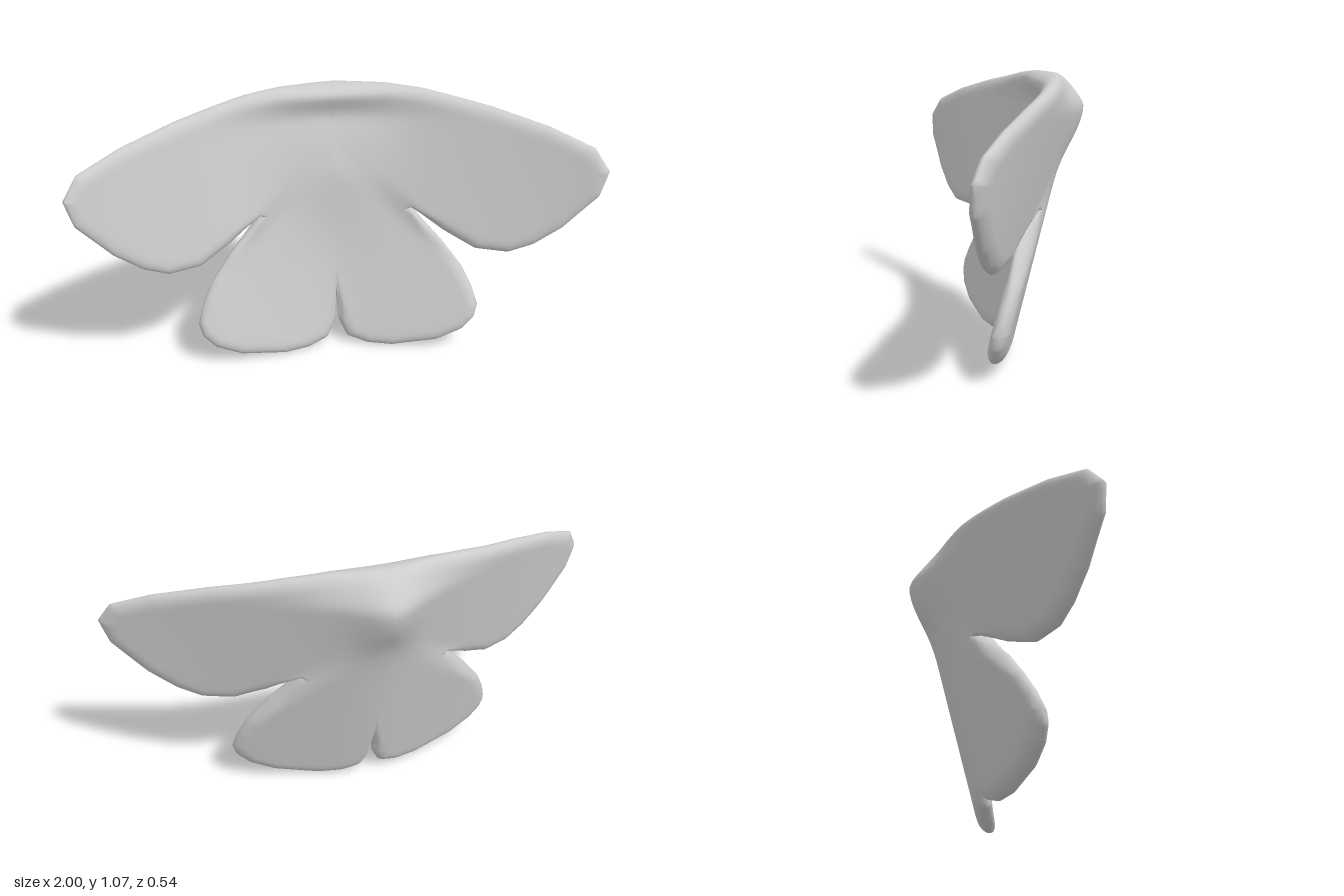
import * as THREE from 'three';
import { mergeVertices } from 'three/addons/utils/BufferGeometryUtils.js';

// Outline of one half, as curves of y over x
const SEAM = 0.585;
const upperTop = [[0, 1.07], [0.2, 1.067], [0.34, 1.052], [0.6, 1.002], [0.8, 0.95], [0.95, 0.89], [1, 0.81]];
const upperBottom = [[0.3, SEAM], [0.42, 0.505], [0.54, 0.447], [0.66, 0.447], [0.75, 0.49], [0.85, 0.57], [0.97, 0.71], [1, 0.81]];
const lowerTop = [[0.3, SEAM], [0.42, 0.455], [0.5, 0.35], [0.54, 0.27], [0.564, 0.19]];
const lowerBottom = [[0, 0.25], [0.008, 0.1], [0.04, 0.033], [0.12, 0.004], [0.22, 0], [0.4, 0.035],
  [0.5, 0.085], [0.55, 0.14], [0.564, 0.19]];
const edges = [upperTop, upperBottom, lowerTop, lowerBottom];

const smooth = THREE.MathUtils.smoothstep;
const bump = (v, width) => Math.exp(-((v / width) ** 2));

// Height of an outline curve at x; the inner wing ends at the seam
function heightAt(curve, x) {
  if (x <= curve[0][0]) return curve[0][1];
  for (let i = 1; i < curve.length; i++) {
    const [x0, y0] = curve[i - 1], [x1, y1] = curve[i];
    if (x <= x1) return y0 + (y1 - y0) * (x - x0) / (x1 - x0);
  }
  return curve[curve.length - 1][1];
}

// Distance from a point to the nearest outer edge
function edgeDistance(x, y) {
  let best = Infinity;
  for (const curve of edges) {
    for (let i = 1; i < curve.length; i++) {
      const [x0, y0] = curve[i - 1], [x1, y1] = curve[i];
      const dx = x1 - x0, dy = y1 - y0;
      const t = THREE.MathUtils.clamp(((x - x0) * dx + (y - y0) * dy) / (dx * dx + dy * dy), 0, 1);
      best = Math.min(best, Math.hypot(x - x0 - t * dx, y - y0 - t * dy));
    }
  }
  return best;
}

// Swept-forward middle surface: strong sweep above, gentler below
function middle(x, y) {
  const r = Math.sqrt(x * x + 0.01);
  const upper = -0.225 + 0.445 * r + 0.02 * x ** 4 - 0.1 * x * x * (0.9 - y);
  const lower = -0.198 + 0.27 * r;
  const blend = smooth(y - SEAM + 0.8 * (x - 0.3), -0.1, 0.05);
  const crest = 0.075 * smooth(y, 0.93, 1.07) * bump(x, 0.3);
  return lower + (upper - lower) * blend + 0.25 * (0.9 - y) + crest;
}

// Rounded rim, tighter at the notches, with a narrow spine behind and a broad fill in front
function surfaceZ(x, y, side) {
  const notch = Math.min(Math.hypot(x - 0.3, y - SEAM), Math.hypot(x, y - 0.25));
  const radius = 0.012 + 0.038 * smooth(notch, 0, 0.16);
  const t = Math.min(edgeDistance(x, y) / radius, 1);
  const rim = Math.sqrt(Math.max(0, 1 - (1 - t) ** 2));
  const body = side < 0
    ? 0.045 * bump(y - 0.905, 0.15) * bump(x, 0.12)
    : 0.065 * bump(y - 0.84, 0.3) * bump(x, 0.2);
  return middle(x, y) + side * rim * (0.038 - 0.01 * x * x + body);
}

// Shared columns so both wings meet exactly at the seam
function columns() {
  const stops = [...new Set(edges.flat().map(p => p[0]))].sort((a, b) => a - b);
  const xs = [0];
  for (let i = 1; i < stops.length; i++) {
    const n = Math.ceil((stops[i] - stops[i - 1]) / 0.015);
    for (let k = 1; k <= n; k++) xs.push(stops[i - 1] + (stops[i] - stops[i - 1]) * k / n);
  }
  return xs;
}

function wingGeometry() {
  const positions = [], indices = [], rows = 32;
  const allX = columns();
  for (const [bottom, top] of [[upperBottom, upperTop], [lowerBottom, lowerTop]]) {
    const xs = allX.filter(x => x <= top[top.length - 1][0] + 1e-6);
    for (const mirror of [1, -1]) for (const side of [1, -1]) {
      const start = positions.length / 3;
      xs.forEach((x, i) => {
        const y0 = heightAt(bottom, x), y1 = heightAt(top, x);
        for (let j = 0; j <= rows; j++) {
          // Rows crowd toward the edges
          const y = y0 + (y1 - y0) * (1 - Math.cos(Math.PI * j / rows)) / 2;
          positions.push(mirror * x, y, surfaceZ(x, y, side));
          if (i === xs.length - 1 || j === rows) continue;
          const a = start + i * (rows + 1) + j, d = a + 1, b = a + rows + 1, c = b + 1;
          if (mirror * side > 0) indices.push(a, b, c, a, c, d);
          else indices.push(a, c, b, a, d, c);
        }
      });
    }
  }
  const geometry = new THREE.BufferGeometry();
  geometry.setAttribute('position', new THREE.Float32BufferAttribute(positions, 3));
  geometry.setIndex(indices);
  const merged = mergeVertices(geometry, 1e-4);
  merged.computeVertexNormals();
  return merged;
}

export function createModel() {
  const model = new THREE.Group();
  model.name = 'wingPanel';
  const grey = new THREE.MeshStandardMaterial({ color: 0xcccccc });
  grey.name = 'light grey';
  const wings = new THREE.Mesh(wingGeometry(), grey);
  wings.name = 'wings';
  model.add(wings);
  return model;
}
